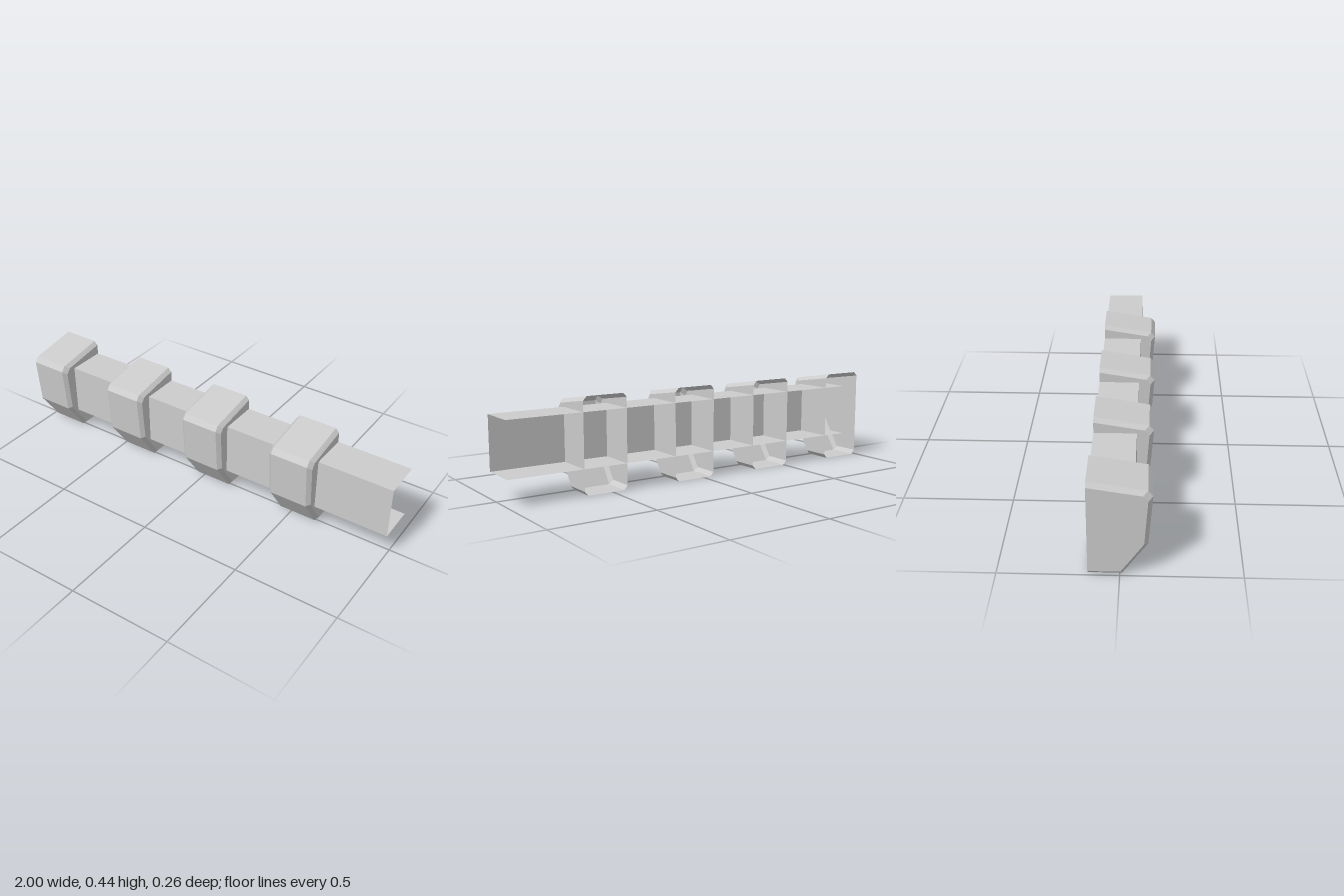
import * as THREE from 'three';

const BACK = -0.13;

// Joins [z, y] profiles placed at successive x positions; the back stays open.
function loft(sections, capped) {
  const pos = [];
  const tri = (...pts) => pts.forEach(p => pos.push(...p));
  const rings = sections.map(({ x, profile }) => profile.map(([z, y]) => [x, y, z]));
  for (let s = 0; s < rings.length - 1; s++) {
    const a = rings[s], b = rings[s + 1];
    for (let i = 0; i < a.length - 1; i++) {
      tri(a[i], a[i + 1], b[i + 1]);
      tri(a[i], b[i + 1], b[i]);
    }
  }
  if (capped) {
    const l = rings[0], r = rings[rings.length - 1];
    for (let i = 1; i < l.length - 1; i++) {
      tri(l[0], l[i + 1], l[i]);
      tri(r[0], r[i], r[i + 1]);
    }
  }
  const geo = new THREE.BufferGeometry();
  geo.setAttribute('position', new THREE.Float32BufferAttribute(pos, 3));
  geo.computeVertexNormals();
  return geo;
}

export function createModel() {
  const group = new THREE.Group();
  const material = new THREE.MeshStandardMaterial({
    color: 0xcccccc, flatShading: true, side: THREE.DoubleSide,
  });
  const add = (name, geo, x = 0) => {
    const mesh = new THREE.Mesh(geo, material);
    mesh.name = name;
    mesh.position.x = x;
    group.add(mesh);
  };

  // Thin channel beam, open at the back and both ends
  const channel = [[BACK, 0.375], [0.057, 0.375], [0.057, 0.122], [BACK, 0.122]];
  add('beam', loft([{ x: -0.91, profile: channel }, { x: 1, profile: channel }], false));

  // Hollow blocks with bevelled sides
  const outer = [[BACK, 0.444], [0.11, 0.405], [0.13, 0.38], [0.113, 0.152], [0.009, 0], [BACK, 0]];
  const inner = [[BACK, 0.425], [0.091, 0.39], [0.111, 0.365], [0.097, 0.16], [0.003, 0.02], [BACK, 0.02]];
  const half = 0.109, bevel = 0.018;
  const block = loft([
    { x: -half, profile: inner },
    { x: -half + bevel, profile: outer },
    { x: half - bevel, profile: outer },
    { x: half, profile: inner },
  ], true);
  [-0.891, -0.409, 0.051, 0.531].forEach((x, i) => add(`block${i + 1}`, block, x));

  return group;
}
